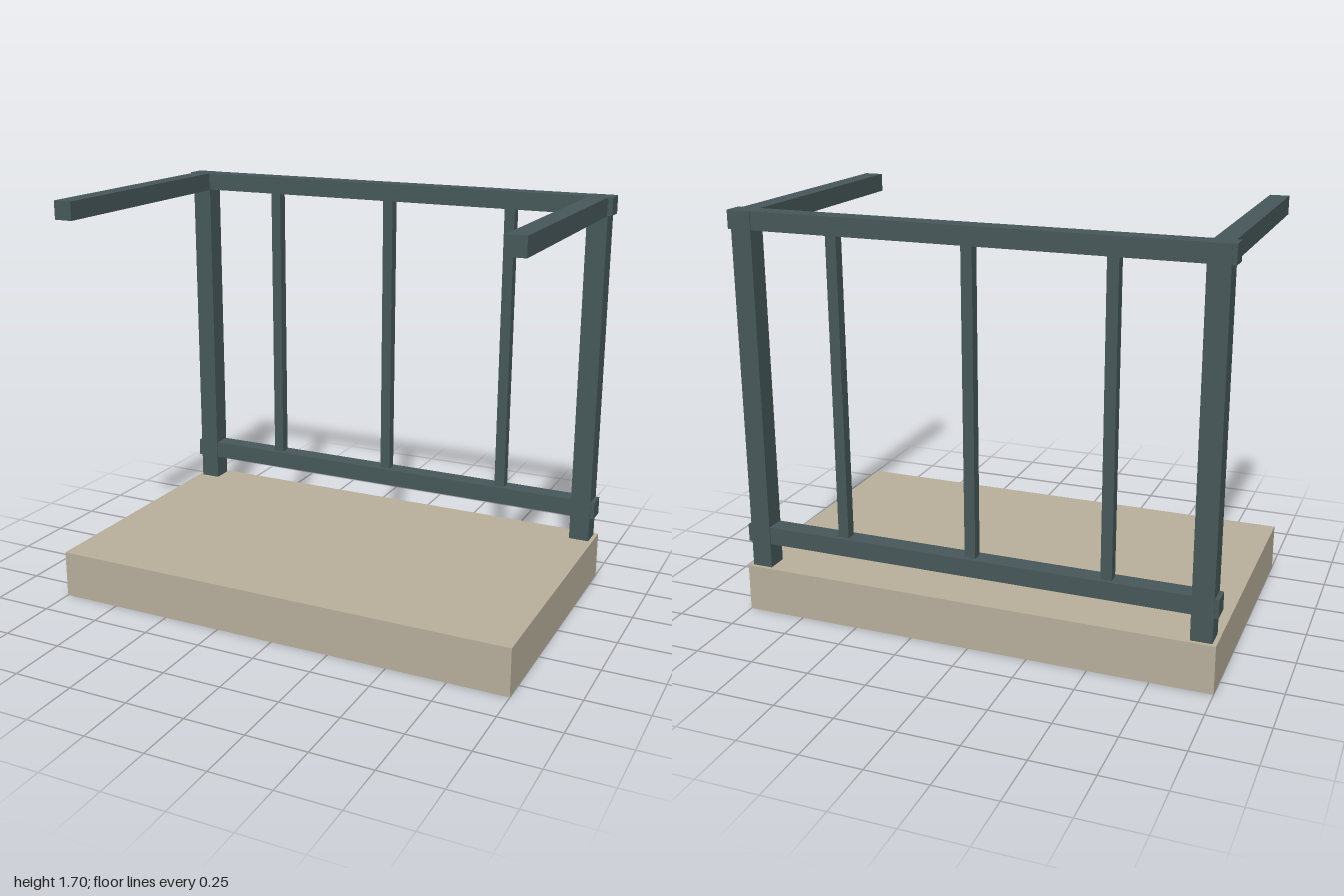
import * as THREE from 'three';

const STONE = new THREE.MeshStandardMaterial({ color: 0xb8b09c });
const STEEL = new THREE.MeshStandardMaterial({ color: 0x47585a });

const POST_X = 0.94; // post centre, mirrored left and right
const FRAME_Z = -0.54; // plane of the back frame
const TOP = 1.7;

// Box given by its size and the centre of its underside
function addBox(group, name, material, [w, h, d], [x, y, z]) {
  const mesh = new THREE.Mesh(new THREE.BoxGeometry(w, h, d), material);
  mesh.name = name;
  mesh.position.set(x, y + h / 2, z);
  group.add(mesh);
}

export function createModel() {
  const model = new THREE.Group();
  model.name = 'balcony';

  // Floor slab
  addBox(model, 'floorSlab', STONE, [2, 0.2, 1.2], [0, 0, 0]);

  // Corner posts and the side handrails reaching forward from them
  for (const [side, s] of [['left', 1], ['right', -1]]) {
    addBox(model, `${side}Post`, STEEL, [0.086, TOP - 0.2, 0.088], [s * POST_X, 0.2, FRAME_Z]);
    addBox(model, `${side}Handrail`, STEEL, [0.08, 0.077, 1.135], [s * POST_X, TOP - 0.077, -0.013]);
  }

  // Back rails, running slightly past the posts
  addBox(model, 'topRail', STEEL, [2, 0.075, 0.08], [0, TOP - 0.075, FRAME_Z]);
  addBox(model, 'bottomRail', STEEL, [2, 0.075, 0.08], [0, 0.305, FRAME_Z]);

  // Balusters between the rails
  for (const x of [-0.56, 0, 0.56]) {
    addBox(model, 'baluster', STEEL, [0.045, 1.245, 0.045], [x, 0.38, FRAME_Z]);
  }

  return model;
}
